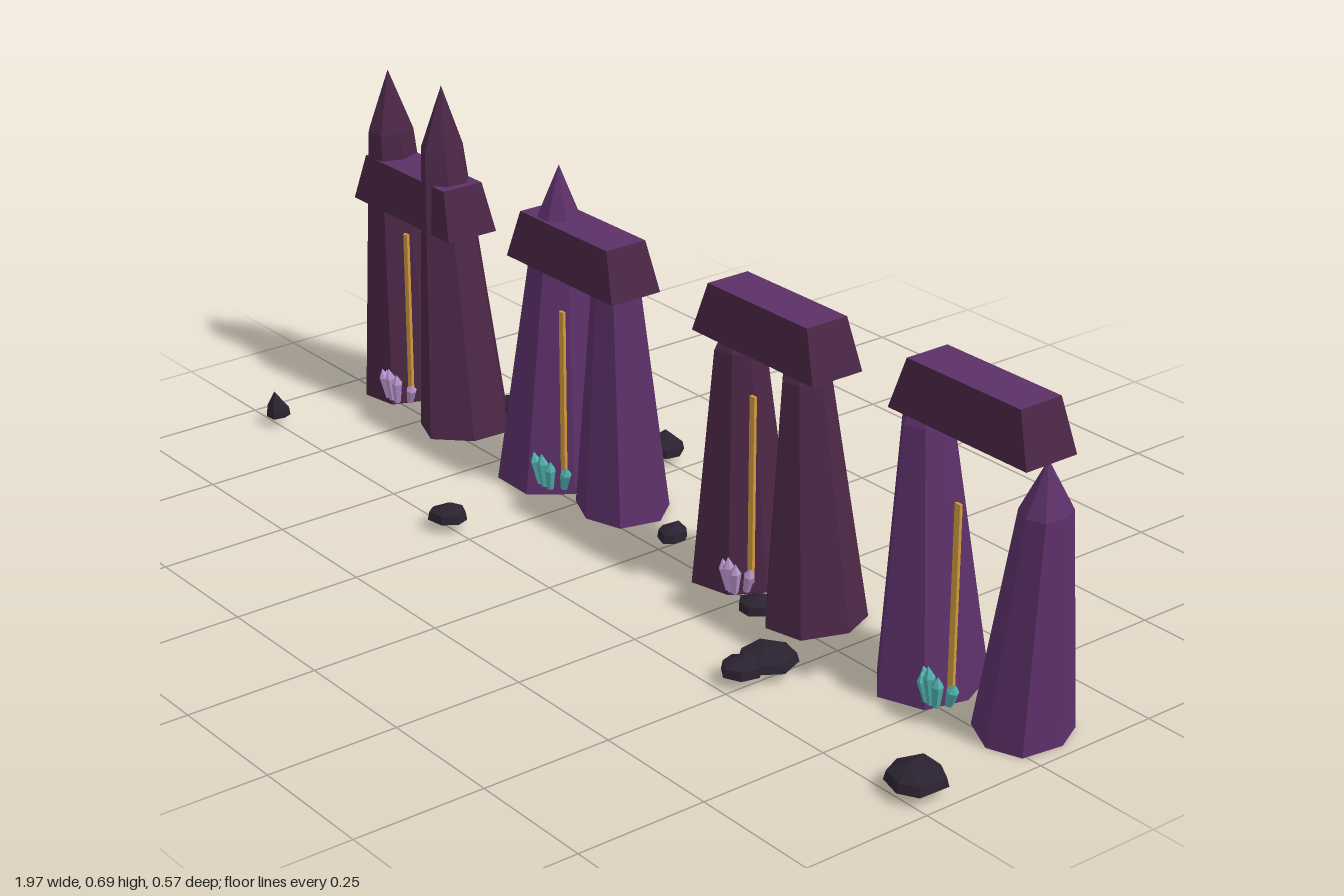
import * as THREE from 'three';

const flat = (hex) => new THREE.MeshStandardMaterial({ color: hex });
const named = (name, hex) => Object.assign(flat(hex), { name });

// Small seeded random for uneven stone
let seed = 7;
const rnd = () => {
  seed = (seed * 16807) % 2147483647;
  return seed / 2147483647;
};

// Faceted shard: closed polygon rings [cx, cy, cz, rx, rz] from bottom up, then a tip [x, y, z]
function shard(rings, tip, sides, jitter) {
  const turn = rnd() * Math.PI;
  const wobble = Array.from({ length: sides }, () => [1 - jitter * rnd(), (rnd() - 0.5) * jitter]);
  const loops = rings.map(([cx, cy, cz, rx, rz]) => wobble.map(([k, da], i) => {
    const a = turn + da + (i / sides) * Math.PI * 2;
    return [cx + Math.cos(a) * rx * k, cy, cz - Math.sin(a) * rz * k];
  }));
  const [bx, by, bz] = rings[0];
  const pos = [];
  for (let i = 0; i < sides; i++) {
    const j = (i + 1) % sides;
    pos.push(...loops[0][j], ...loops[0][i], bx, by, bz);
    for (let k = 0; k + 1 < loops.length; k++) {
      const lo = loops[k], hi = loops[k + 1];
      pos.push(...lo[i], ...lo[j], ...hi[j], ...lo[i], ...hi[j], ...hi[i]);
    }
    const top = loops[loops.length - 1];
    pos.push(...top[i], ...top[j], ...tip);
  }
  const g = new THREE.BufferGeometry();
  g.setAttribute('position', new THREE.Float32BufferAttribute(pos, 3));
  g.computeVertexNormals();
  return g;
}

// Lintel: a box tapering towards its top
function lintelGeometry(width, height) {
  const g = new THREE.BoxGeometry(width, height, 0.112);
  const p = g.attributes.position;
  for (let i = 0; i < p.count; i++) {
    if (p.getY(i) > 0) {
      p.setX(i, p.getX(i) - Math.sign(p.getX(i)) * 0.03);
      p.setZ(i, Math.sign(p.getZ(i)) * 0.045);
    }
  }
  const out = g.toNonIndexed();
  out.computeVertexNormals();
  return out;
}

export function createModel() {
  const model = new THREE.Group();
  model.name = 'stoneGates';

  const dark = named('dark plum stone', 0x4a2645);
  const light = named('purple stone', 0x5b3068);
  const rubble = named('dark rubble', 0x2a2230);
  const gold = named('gold', 0xd09a3c);
  const lilac = named('lilac crystal', 0xb795cc);
  const teal = named('teal crystal', 0x4fb3b0);

  const add = (parent, name, geometry, material) => {
    const m = new THREE.Mesh(geometry, material);
    m.name = name;
    parent.add(m);
    return m;
  };

  // Pillars: [base x, base rx, base z, base rz, top x, tip y]
  const gates = [
    { stone: dark, crystal: lilac, lintel: [-0.81, 0.41, 0.33], pole: [-0.805, 0.38],
      pillars: [[-0.91, 0.1, -0.06, 0.1, -0.925, 0.68], [-0.685, 0.105, -0.05, 0.105, -0.74, 0.695]] },
    { stone: light, crystal: teal, lilacCount: 0, lintel: [-0.29, 0.445, 0.325], pole: [-0.29, 0.38],
      pillars: [[-0.383, 0.11, -0.05, 0.115, -0.36, 0.64], [-0.183, 0.095, -0.06, 0.095, -0.187, 0.545]] },
    { stone: dark, crystal: lilac, lintel: [0.267, 0.475, 0.325], pole: [0.265, 0.4],
      pillars: [[0.17, 0.1, -0.06, 0.1, 0.17, 0.55], [0.373, 0.1, -0.05, 0.105, 0.345, 0.55]] },
    { stone: light, crystal: teal, lintel: [0.78, 0.505, 0.325], pole: [0.785, 0.39],
      pillars: [[0.68, 0.1, -0.055, 0.115, 0.655, 0.587], [0.9, 0.09, -0.055, 0.095, 0.935, 0.51]] },
  ];

  gates.forEach((gate, n) => {
    const group = new THREE.Group();
    group.name = 'gate' + (n + 1);
    model.add(group);

    // Leaning pillars with pointed tips
    gate.pillars.forEach(([x, rx, z, rz, tx, h], i) => {
      const g = shard([[x, 0, z, rx, rz], [tx, h * 0.82, -0.048, 0.046, 0.05]], [tx, h, -0.048], 7, 0.14);
      add(group, i ? 'leftPillar' : 'rightPillar', g, gate.stone);
    });

    // Lintel with a lighter top face
    const [lx, ly, lw] = gate.lintel;
    const lintel = add(group, 'lintel', lintelGeometry(lw, 0.095), [dark, dark, light, dark, dark, dark]);
    lintel.position.set(lx, ly + 0.0475, -0.048);

    // Thin gold pole in the opening
    const [px, top] = gate.pole;
    const pole = add(group, 'goldPole', new THREE.BoxGeometry(0.013, top - 0.04, 0.006), gold);
    pole.position.set(px, (top + 0.04) / 2, 0);

    // Fan of crystals at the foot of the pole
    const spread = n === 2 ? 0.02 : n === 3 ? 0.028 : 0.04;
    for (let i = 0; i < 5; i++) {
      const t = i / 2 - 1;
      const h = 0.065 - 0.022 * Math.abs(t) + 0.012 * rnd();
      const r = 0.0115;
      const g = shard([[0, 0, 0, r * 0.65, r * 0.65], [0, h * 0.7, 0, r, r]], [0, h, 0], 6, 0.1);
      const c = add(group, 'crystal', g, gate.crystal);
      c.position.set(px + t * spread * 0.75, 0.036, 0.045 - 0.022 * Math.abs(t) + 0.01 * (i % 2));
      c.rotation.set(0.12, 0, -t * 0.35);
    }
  });

  // Scattered rubble: [x, z, radius, top y]
  const stones = [
    [-0.65, -0.14, 0.045, 0.05], [-0.3, -0.25, 0.043, 0.06], [0.01, -0.025, 0.032, 0.055],
    [0.09, -0.185, 0.035, 0.05], [0.175, -0.175, 0.055, 0.08], [0.13, -0.15, 0.045, 0.05],
    [0.48, 0.145, 0.058, 0.048], [0.485, 0.2, 0.042, 0.05], [0.93, 0.21, 0.062, 0.056],
    [-0.315, 0.25, 0.043, 0.05], [-0.915, 0.248, 0.027, 0.073], [0.32, 0.035, 0.036, 0.05],
  ];
  stones.forEach(([x, z, r, top]) => {
    const tip = [x + (rnd() - 0.5) * r * 0.6, top, z + (rnd() - 0.5) * r * 0.6];
    const g = shard([[x, 0.02, z, r, r], [x, 0.036, z, r * 0.92, r * 0.92]], tip, 7, 0.25);
    add(model, 'rubbleStone', g, rubble);
  });

  return model;
}
